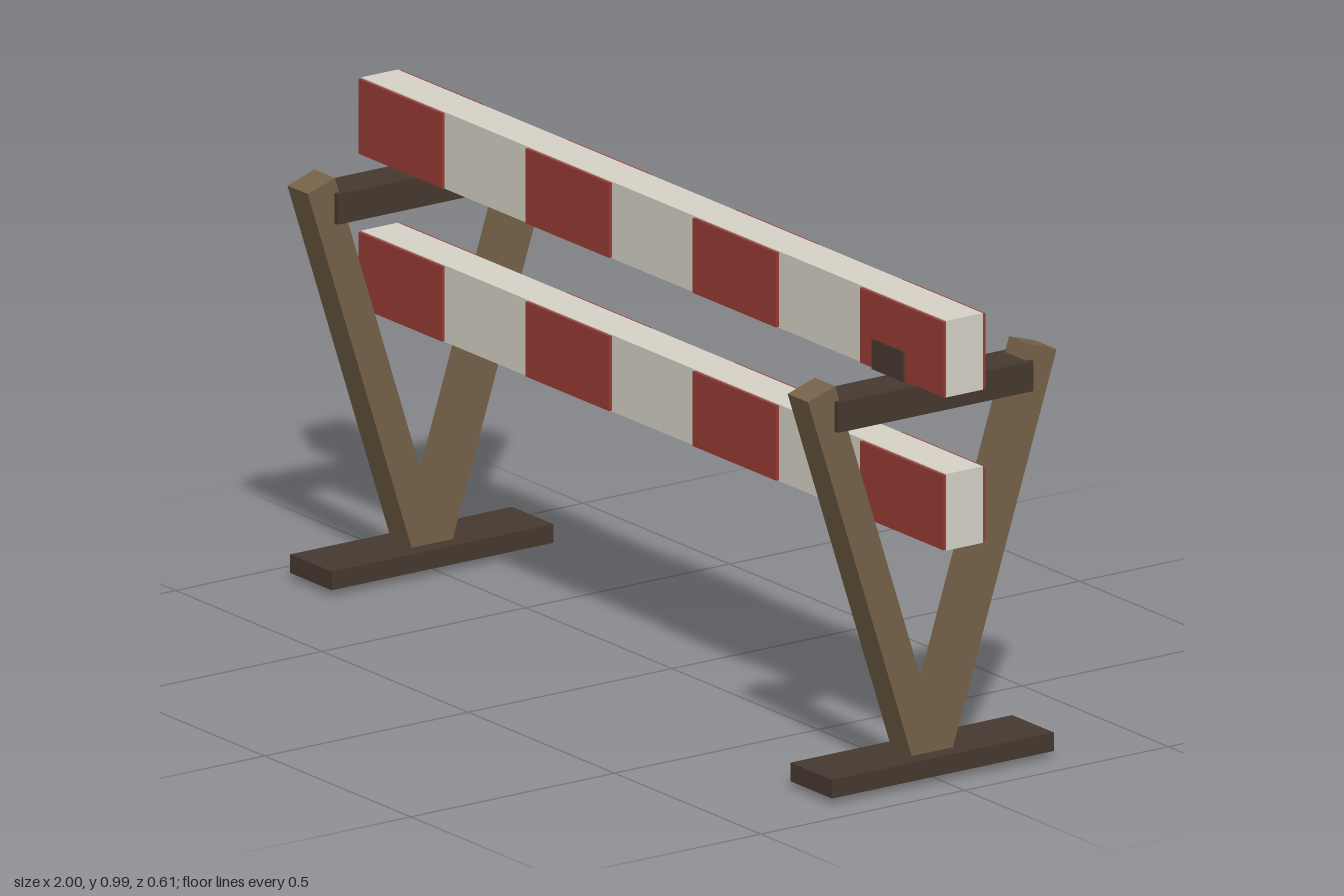
import * as THREE from 'three';

const mat = (name, color) => {
  const m = new THREE.MeshStandardMaterial({ color });
  m.name = name;
  return m;
};

export function createModel() {
  const white = mat('off white paint', 0xd6d2c7);
  const red = mat('red paint', 0x983c36);
  const wood = mat('brown wood', 0x766249);
  const dark = mat('dark wood', 0x473930);

  const model = new THREE.Group();
  model.name = 'barrier';

  const box = (parent, name, material, size, pos) => {
    const mesh = new THREE.Mesh(new THREE.BoxGeometry(...size), material);
    mesh.name = name;
    mesh.position.set(...pos);
    parent.add(mesh);
    return mesh;
  };

  // Two striped rails, red bands on the front and back faces
  const band = 2 / 7;
  for (const [name, y] of [['upperRail', 0.909], ['lowerRail', 0.589]]) {
    const rail = new THREE.Group();
    rail.name = name;
    rail.position.y = y;
    model.add(rail);
    box(rail, 'board', white, [2, 0.16, 0.09], [0, 0, 0]);
    for (const i of [-3, -1, 1, 3]) {
      for (const side of [-1, 1]) {
        box(rail, 'redBand', red, [band, 0.156, 0.007], [i * band, 0, side * 0.0485]);
      }
    }
  }

  // V-shaped trestle at each end
  const legTop = [0.849, 0.2715];
  const legBottom = [0.011, 0];
  const dy = legTop[0] - legBottom[0];
  const dz = legTop[1] - legBottom[1];
  for (const x of [-0.855, 0.855]) {
    const trestle = new THREE.Group();
    trestle.name = x < 0 ? 'rightTrestle' : 'leftTrestle';
    trestle.position.x = x;
    model.add(trestle);
    box(trestle, 'foot', dark, [0.142, 0.039, 0.544], [0, 0.0335, 0]);
    box(trestle, 'crossbar', dark, [0.094, 0.063, 0.48], [0, 0.797, 0]);
    for (const side of [-1, 1]) {
      const leg = box(trestle, 'leg', wood, [0.07, Math.hypot(dy, dz), 0.07],
        [0, (legTop[0] + legBottom[0]) / 2, side * dz / 2]);
      leg.rotation.x = side * Math.atan2(dz, dy);
    }
  }

  // Single clamp around the upper rail near the left end
  box(model, 'clamp', dark, [0.108, 0.063, 0.112], [0.814, 0.861, 0]);

  return model;
}
